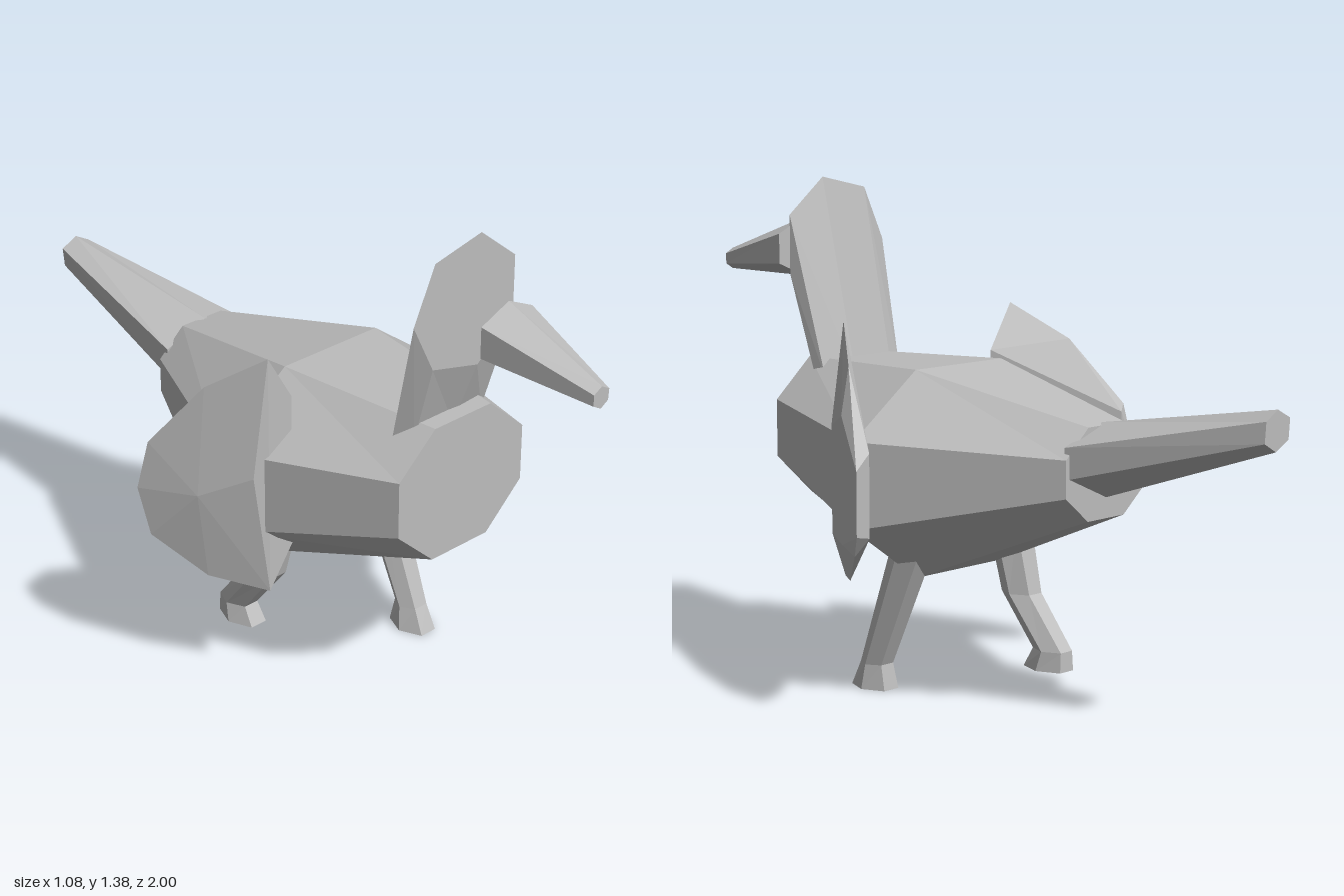
import * as THREE from 'three';
import { ConvexGeometry } from 'three/addons/geometries/ConvexGeometry.js';

const grey = new THREE.MeshStandardMaterial({ color: 0xbcbcbc, flatShading: true });
grey.name = 'plain grey';

// Closed solid through rings of equal point count, turned outward by its signed volume
function loft(rings) {
  const n = rings[0].length;
  const tris = [];
  for (let r = 0; r < rings.length - 1; r++) {
    for (let i = 0; i < n; i++) {
      const j = (i + 1) % n;
      const a = rings[r][i], b = rings[r][j], c = rings[r + 1][j], d = rings[r + 1][i];
      tris.push([a, b, c], [a, c, d]);
    }
  }
  const first = rings[0], last = rings[rings.length - 1];
  for (let i = 1; i < n - 1; i++) {
    tris.push([first[0], first[i + 1], first[i]], [last[0], last[i], last[i + 1]]);
  }
  const v = (p) => new THREE.Vector3(...p);
  let volume = 0;
  for (const [a, b, c] of tris) volume += v(a).dot(v(b).cross(v(c)));
  if (volume < 0) tris.forEach((t) => t.reverse());
  const geometry = new THREE.BufferGeometry();
  geometry.setAttribute('position', new THREE.Float32BufferAttribute(tris.flat(2), 3));
  geometry.computeVertexNormals();
  return geometry;
}

// Upright ring at depth z
const at = (z, points) => points.map(([x, y]) => [x, y, z]);

// Symmetric octagon: half widths of the flat and the side, then four heights
const octagon = (z, flat, side, top, upper, lower, bottom) => at(z, [
  [-flat, top], [flat, top], [side, upper], [side, lower],
  [flat, bottom], [-flat, bottom], [-side, lower], [-side, upper],
]);

// Level hexagon for the legs
function hexagon([x, y, z, rx, rz]) {
  return Array.from({ length: 6 }, (_, i) => {
    const a = (i * Math.PI) / 3;
    return [x + rx * Math.cos(a), y, z + (rz * Math.sin(a)) / 0.866];
  });
}

export function createModel() {
  const model = new THREE.Group();
  model.name = 'bird';
  const add = (name, geometry) => {
    const mesh = new THREE.Mesh(geometry, grey);
    mesh.name = name;
    model.add(mesh);
  };

  // Barrel body, widest at the middle
  add('body', loft([
    octagon(0.54, 0.1, 0.225, 0.875, 0.765, 0.605, 0.49),
    octagon(0.05, 0.165, 0.395, 0.888, 0.72, 0.485, 0.322),
    octagon(-0.48, 0.07, 0.155, 0.78, 0.705, 0.605, 0.535),
  ]));

  // Wedge-shaped neck ending in a flat seven-sided face
  add('neckAndHead', loft([
    [[-0.155, 0.82, 0.44], [-0.11, 0.82, 0.425], [0.03, 0.82, 0.425], [0.14, 0.82, 0.43],
      [0.145, 0.82, 0.465], [0.03, 0.82, 0.475], [-0.11, 0.82, 0.475]],
    at(0.545, [[-0.19, 1.19], [-0.12, 1.34], [0.04, 1.375], [0.165, 1.275],
      [0.165, 1.11], [0.04, 1.01], [-0.12, 1.05]]),
  ]));

  // Beak, separate in front of the head
  add('beak', loft([
    at(0.68, [[0, 1.25], [0.085, 1.21], [0.085, 1.125], [-0.01, 1.085], [-0.095, 1.125], [-0.095, 1.21]]),
    at(1, [[-0.015, 1.145], [0.012, 1.13], [0.01, 1.1], [-0.015, 1.085], [-0.042, 1.1], [-0.042, 1.13]]),
  ]));

  // Tail
  add('tail', loft([
    at(-0.465, [[0, 0.785], [0.145, 0.735], [0.145, 0.65], [0, 0.585], [-0.14, 0.65], [-0.14, 0.735]]),
    at(-1, [[-0.035, 0.87], [0.01, 0.845], [0.015, 0.79], [-0.03, 0.765], [-0.08, 0.79], [-0.085, 0.845]]),
  ]));

  // Thin faceted wings swept backward
  const leftWing = [
    [0.3, 1.02, 0.185], [0.3, 0.33, 0.185], [0.27, 0.8, 0.185], [0.27, 0.45, 0.185],
    [0.37, 0.75, 0.16], [0.37, 0.46, 0.16], [0.4, 0.92, 0.06], [0.4, 0.35, 0.06],
    [0.46, 0.8, 0.025], [0.46, 0.46, 0.025], [0.51, 0.45, -0.075],
    [0.54, 0.68, -0.115], [0.54, 0.51, -0.115], [0.49, 0.72, -0.11], [0.49, 0.5, -0.11],
  ];
  const rightWing = [
    [-0.34, 1.02, 0.18], [-0.34, 0.33, 0.18], [-0.265, 0.89, 0.185], [-0.265, 0.45, 0.185],
    [-0.38, 0.68, 0.165], [-0.435, 0.92, 0.04], [-0.435, 0.355, 0.04], [-0.465, 0.61, 0.04],
    [-0.52, 0.74, -0.09], [-0.52, 0.46, -0.09], [-0.54, 0.6, -0.115],
    [-0.495, 0.72, -0.105], [-0.495, 0.48, -0.105],
  ];
  for (const [name, points] of [['leftWing', leftWing], ['rightWing', rightWing]]) {
    add(name, new ConvexGeometry(points.map((p) => new THREE.Vector3(...p))));
  }

  // Striding legs: left one forward, right one bent back
  const legs = {
    leftLeg: [[0.185, 0.43, 0.035, 0.058, 0.055], [0.185, 0.07, 0.185, 0.045, 0.04], [0.183, 0, 0.195, 0.053, 0.064]],
    rightLeg: [[-0.18, 0.43, 0.03, 0.06, 0.055], [-0.178, 0.24, -0.018, 0.05, 0.052],
      [-0.18, 0.095, -0.133, 0.046, 0.052], [-0.178, 0.04, -0.12, 0.053, 0.068]],
  };
  for (const [name, rings] of Object.entries(legs)) add(name, loft(rings.map(hexagon)));

  return model;
}
